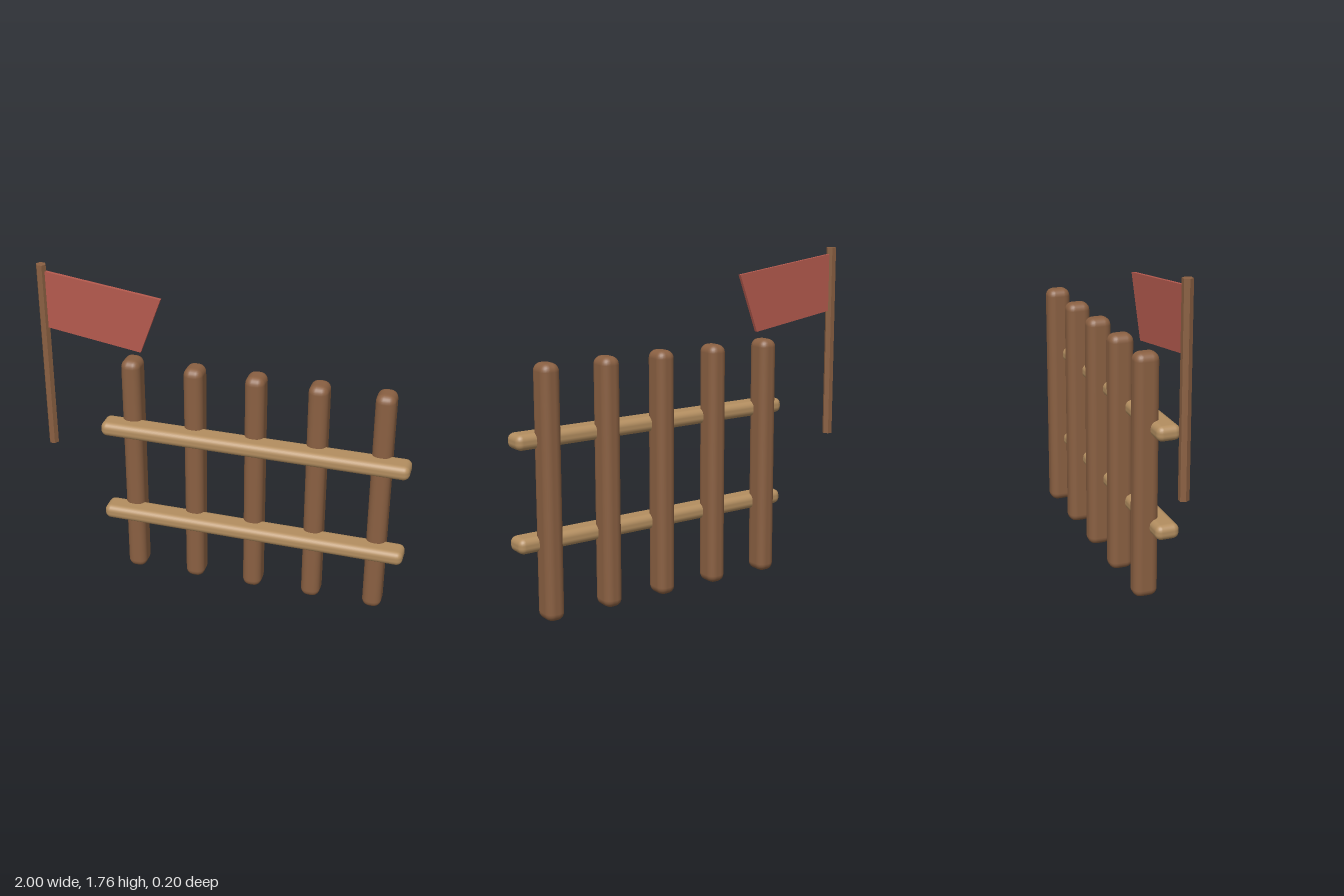
import * as THREE from 'three';
import { RoundedBoxGeometry } from 'three/addons/geometries/RoundedBoxGeometry.js';

const paint = (name, color, extra = {}) => {
  const m = new THREE.MeshStandardMaterial({ color, ...extra });
  m.name = name;
  return m;
};

export function createModel() {
  const model = new THREE.Group();
  model.name = 'fenceWithFlag';

  const darkWood = paint('darkWood', 0x8a6042);
  const poleWood = paint('poleWood', 0x8a6042, { flatShading: true });
  const lightWood = paint('lightWood', 0xb38e60);
  const redCloth = paint('redCloth', 0xb55a4e);

  const add = (name, geometry, material, x, y, z) => {
    const mesh = new THREE.Mesh(geometry, material);
    mesh.name = name;
    mesh.position.set(x, y, z);
    model.add(mesh);
    return mesh;
  };

  // Upright posts with rounded ends
  const postGeometry = new RoundedBoxGeometry(0.104, 1.295, 0.13, 3, 0.042);
  [-0.495, -0.155, 0.173, 0.503, 0.843].forEach((x, i) =>
    add(`post${i + 1}`, postGeometry, darkWood, x, 0.6475, -0.036));

  // Two horizontal rails across the front
  const railGeometry = new RoundedBoxGeometry(1.645, 0.08, 0.125, 3, 0.033);
  add('lowerRail', railGeometry, lightWood, 0.1775, 0.39, 0.036);
  add('upperRail', railGeometry, lightWood, 0.1775, 0.91, 0.036);

  // Six-sided flag pole
  const pole = add('flagPole', new THREE.CylinderGeometry(0.027, 0.027, 1.045, 6), poleWood, -0.973, 1.2375, -0.035);
  pole.rotation.y = Math.PI / 2;

  // Slanted flag, cut from a thin sheet
  const outline = new THREE.Shape([
    new THREE.Vector2(-0.96, 1.412),
    new THREE.Vector2(-0.445, 1.335),
    new THREE.Vector2(-0.33, 1.645),
    new THREE.Vector2(-0.96, 1.725),
  ]);
  const flagGeometry = new THREE.ExtrudeGeometry(outline, { depth: 0.018, bevelEnabled: false });
  add('flag', flagGeometry, redCloth, 0, 0, -0.044);

  return model;
}
